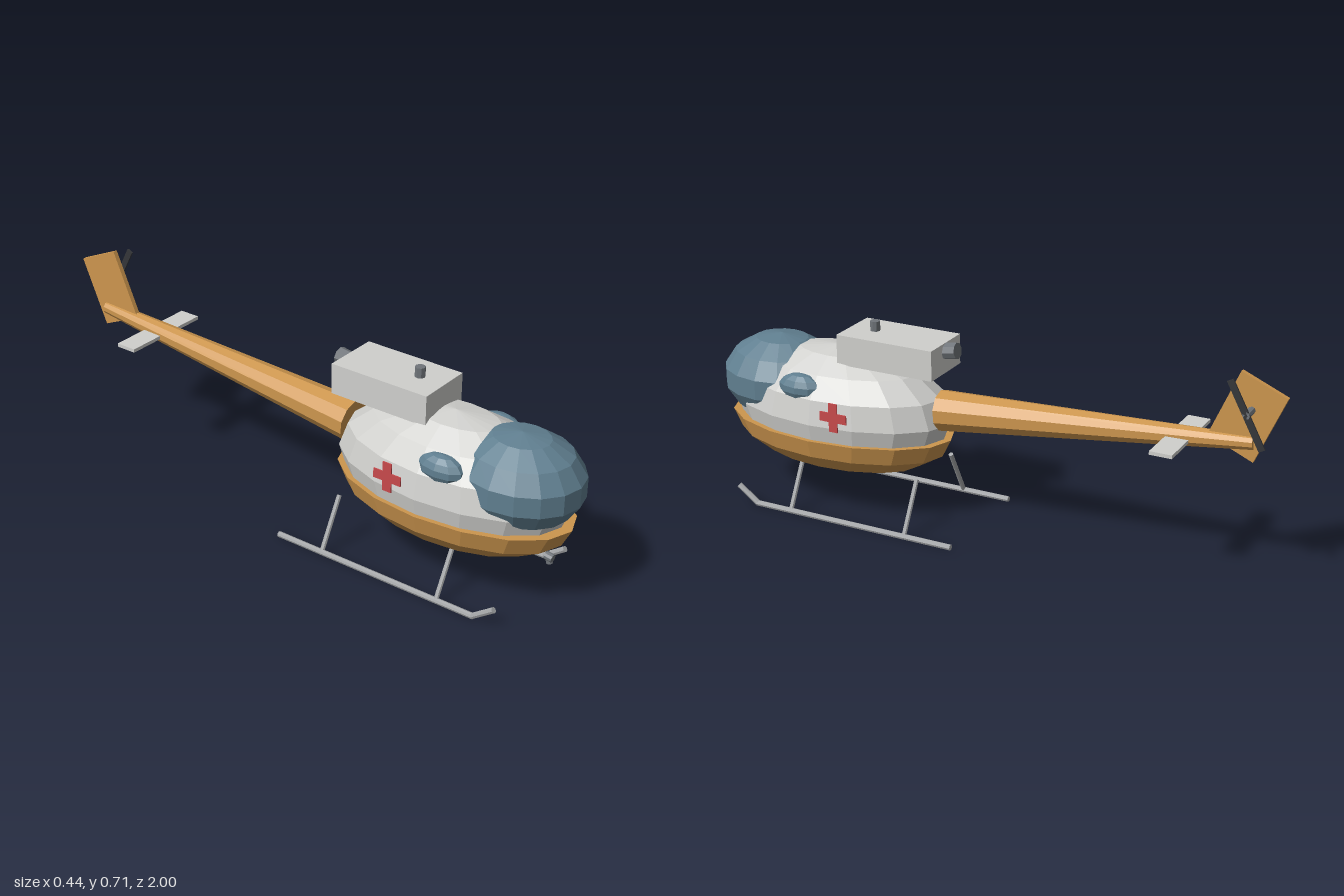
import * as THREE from 'three';

const mat = (name, color) => {
  const m = new THREE.MeshStandardMaterial({ color, flatShading: true });
  m.name = name;
  return m;
};

export function createModel() {
  const white = mat('hull white', 0xd0d0cd);
  const gold = mat('ochre', 0xcd964e);
  const glass = mat('blue glass', 0x607f90);
  const red = mat('red', 0xc94a4c);
  const metal = mat('metal grey', 0xa3a5a7);
  const steel = mat('steel grey', 0x70757a);
  const dark = mat('dark grey', 0x343639);

  const model = new THREE.Group();
  model.name = 'helicopter';

  const add = (name, geo, material, x = 0, y = 0, z = 0, parent = model) => {
    const mesh = new THREE.Mesh(geo, material);
    mesh.name = name;
    mesh.position.set(x, y, z);
    parent.add(mesh);
    return mesh;
  };
  // Cylinder between two points
  const rod = (name, a, b, r0, r1, sides, material, parent = model) => {
    const p = new THREE.Vector3(...a), q = new THREE.Vector3(...b);
    const d = q.clone().sub(p);
    const mesh = add(name, new THREE.CylinderGeometry(r1, r0, d.length(), sides), material, 0, 0, 0, parent);
    mesh.position.copy(p).add(q).multiplyScalar(0.5);
    mesh.quaternion.setFromUnitVectors(new THREE.Vector3(0, 1, 0), d.normalize());
    return mesh;
  };
  const ellipsoid = (rx, ry, rz, w, h) => new THREE.SphereGeometry(1, w, h).scale(rx, ry, rz);

  // Cabin shell, and the belly pan with its rim
  add('cabin', ellipsoid(0.218, 0.217, 0.41, 16, 8), white, 0, 0.343, 0.555);
  const pan = new THREE.SphereGeometry(1, 16, 4, 0, Math.PI * 2, Math.PI / 2, Math.PI / 2);
  add('belly', pan.scale(0.222, 0.165, 0.42), gold, 0, 0.287, 0.56);
  const rim = new THREE.CircleGeometry(1, 16).rotateX(-Math.PI / 2);
  add('bellyRim', rim.scale(0.222, 1, 0.42), gold, 0, 0.287, 0.56);

  // Windscreen bubble
  add('canopy', ellipsoid(0.183, 0.153, 0.215, 16, 7), glass, 0, 0.41, 0.79);

  // Engine housing, rotor mast and exhaust
  add('engineHousing', new THREE.BoxGeometry(0.196, 0.103, 0.355), white, 0, 0.577, 0.333);
  rod('rotorMast', [0, 0.62, 0.42], [0, 0.662, 0.42], 0.017, 0.017, 8, steel);
  rod('exhaust', [0, 0.598, 0.17], [0, 0.607, 0.112], 0.028, 0.028, 8, steel);

  // Tail boom, fin and stabilizer
  rod('tailBoom', [0, 0.39, 0.17], [0, 0.482, -0.9], 0.07, 0.023, 10, gold);
  const fin = add('tailFin', new THREE.BoxGeometry(0.016, 0.242, 0.163), gold, 0, 0.563, -0.875);
  fin.rotation.x = -0.41;
  add('stabilizer', new THREE.BoxGeometry(0.326, 0.012, 0.075), white, 0, 0.457, -0.663);

  // Tail rotor
  rod('tailRotorHub', [0, 0.588, -0.888], [0.06, 0.588, -0.888], 0.012, 0.012, 8, steel);
  const blade = add('tailRotorBlade', new THREE.BoxGeometry(0.006, 0.235, 0.022), dark, 0.057, 0.588, -0.888);
  blade.rotation.x = 0.49;

  // Red cross outline
  const a = 0.016, b = 0.05;
  const cross = new THREE.Shape([
    [a, a], [a, b], [-a, b], [-a, a], [-b, a], [-b, -a],
    [-a, -a], [-a, -b], [a, -b], [a, -a], [b, -a], [b, a],
  ].map(([x, y]) => new THREE.Vector2(x, y)));
  const crossGeo = new THREE.ExtrudeGeometry(cross, { depth: 0.004, bevelEnabled: false });
  crossGeo.translate(0, 0, -0.002).rotateY(Math.PI / 2);

  // Parts mirrored on both sides
  for (const s of [1, -1]) {
    const side = new THREE.Group();
    side.name = s > 0 ? 'leftSide' : 'rightSide';
    model.add(side);
    add('sideWindow', ellipsoid(0.045, 0.048, 0.083, 10, 7), glass, s * 0.16, 0.448, 0.615, side);
    add('crossMark', crossGeo, red, s * 0.218, 0.387, 0.458, side);

    // Landing skid with upturned toe and two struts
    rod('skid', [s * 0.21, 0.011, 0.03], [s * 0.21, 0.011, 0.782], 0.01, 0.01, 8, metal, side);
    rod('skidToe', [s * 0.21, 0.011, 0.778], [s * 0.21, 0.064, 0.852], 0.01, 0.01, 8, metal, side);
    for (const z of [0.645, 0.205]) {
      rod('strut', [s * 0.21, 0.011, z], [s * 0.118, 0.18, z], 0.008, 0.008, 8, metal, side);
    }
  }

  // Lamp under the nose
  rod('noseLamp', [0, 0.171, 0.898], [0, 0.167, 0.924], 0.014, 0.014, 10, steel);
  rod('noseLampMount', [0, 0.172, 0.908], [0, 0.148, 0.914], 0.011, 0.011, 8, steel);

  return model;
}
